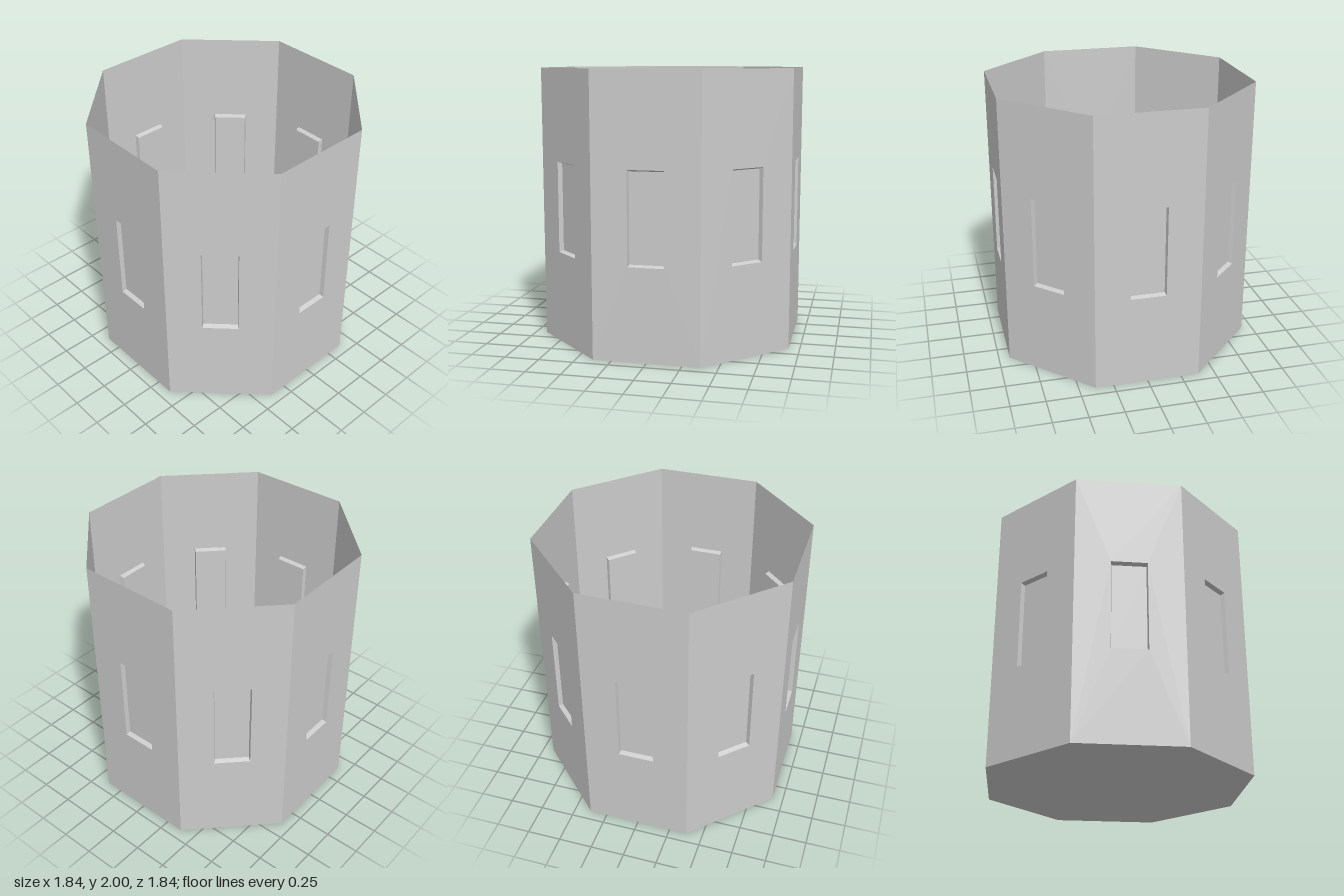
import * as THREE from 'three';

const SIDES = 8, APOTHEM = 0.92, HEIGHT = 2, DEPTH = 0.033;
const HALF = APOTHEM * Math.tan(Math.PI / SIDES);

// Corners of an upright rectangle, counter-clockwise from the front
const rect = (w, y0, y1, z) => [[-w, y0, z], [w, y0, z], [w, y1, z], [-w, y1, z]];
const toPoints = (corners) => corners.map(([x, y]) => new THREE.Vector2(x, y));

// Flat wall with a window opening
function wallGeometry(outer, opening) {
  const shape = new THREE.Shape(toPoints(outer));
  shape.holes.push(new THREE.Path(toPoints(opening)));
  return new THREE.ShapeGeometry(shape).translate(0, 0, APOTHEM);
}

// Four sloping sides and the back panel of a window recess
function recessGeometry(opening, back) {
  const quads = [back];
  for (let i = 0; i < 4; i++) {
    const j = (i + 1) % 4;
    quads.push([opening[i], opening[j], back[j], back[i]]);
  }
  const positions = quads.flatMap(([a, b, c, d]) => [a, b, c, a, c, d]).flat();
  const geometry = new THREE.BufferGeometry();
  geometry.setAttribute('position', new THREE.Float32BufferAttribute(positions, 3));
  geometry.computeVertexNormals();
  return geometry;
}

export function createModel() {
  const model = new THREE.Group();
  model.name = 'octagonalTower';
  const material = new THREE.MeshStandardMaterial({
    color: 0xcccccc, flatShading: true, side: THREE.DoubleSide,
  });
  const add = (parent, name, geometry) => {
    const mesh = new THREE.Mesh(geometry, material);
    mesh.name = name;
    parent.add(mesh);
    return mesh;
  };

  const opening = rect(0.128, 0.67, 1.333, APOTHEM);
  const back = rect(0.122, 0.682, 1.321, APOTHEM - DEPTH);
  const wall = wallGeometry(rect(HALF, 0, HEIGHT, 0), opening);
  const recess = recessGeometry(opening, back);

  // Eight identical sides around an open top
  for (let i = 0; i < SIDES; i++) {
    const side = new THREE.Group();
    side.name = `side${i + 1}`;
    side.rotation.y = (i * 2 * Math.PI) / SIDES;
    add(side, 'wall', wall);
    add(side, 'windowRecess', recess);
    model.add(side);
  }

  // Floor closing the bottom, facing down
  const radius = APOTHEM / Math.cos(Math.PI / SIDES);
  const floor = new THREE.CircleGeometry(radius, SIDES, Math.PI / SIDES);
  add(model, 'floor', floor.rotateX(Math.PI / 2));

  return model;
}
